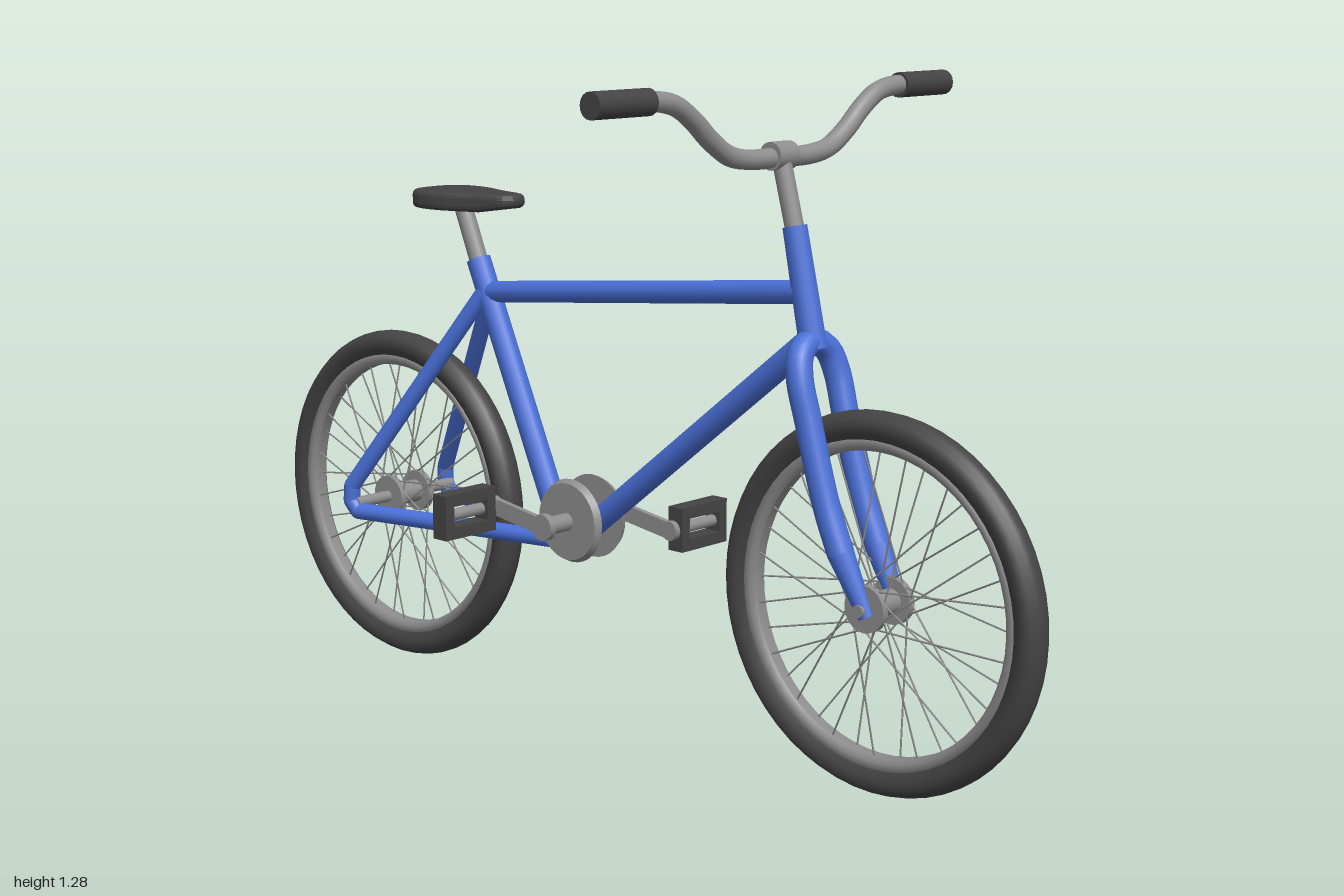
import * as THREE from 'three';
import { mergeGeometries } from 'three/addons/utils/BufferGeometryUtils.js';

const mat = (name, color) => Object.assign(new THREE.MeshStandardMaterial({ color }), { name });
const V = (x, y, z) => new THREE.Vector3(x, y, z);

// Tapered, capped rod between two points
function rodGeo(a, b, r0, r1 = r0, sides = 14) {
  const dir = b.clone().sub(a);
  const g = new THREE.CylinderGeometry(r1, r0, dir.length(), sides);
  g.applyQuaternion(new THREE.Quaternion().setFromUnitVectors(V(0, 1, 0), dir.normalize()));
  const m = a.clone().add(b).multiplyScalar(0.5);
  return g.translate(m.x, m.y, m.z);
}

const ballGeo = (p, r) => new THREE.SphereGeometry(r, 14, 8).translate(p.x, p.y, p.z);

// Ring of revolution about the x axis; profile points are [radius, x]
function ringGeo(profile) {
  const pts = [...profile, profile[0]].map(([r, x]) => new THREE.Vector2(r, x));
  return new THREE.LatheGeometry(pts, 56).rotateZ(-Math.PI / 2);
}

export function createModel() {
  const blue = mat('frame blue', 0x4a70d8);
  const steel = mat('steel grey', 0x8e8e8e);
  const rubber = mat('rubber black', 0x444444);
  const model = new THREE.Group();
  model.name = 'bicycle';

  const add = (name, geo, material, parent = model) => {
    const mesh = new THREE.Mesh(geo, material);
    mesh.name = name;
    parent.add(mesh);
    return mesh;
  };

  // Wheels: tyre, rim, hub and crossed spokes
  const tyre = ringGeo([[0.302, -0.02], [0.315, -0.029], [0.33, -0.033], [0.343, -0.027], [0.351, -0.015],
    [0.354, -0.005], [0.354, 0.005], [0.351, 0.015], [0.343, 0.027], [0.33, 0.033], [0.315, 0.029], [0.302, 0.02]]);
  const rim = ringGeo([[0.282, -0.012], [0.29, -0.021], [0.307, -0.021], [0.307, 0.021], [0.29, 0.021], [0.282, 0.012]]);
  const spokeList = [];
  const count = 36;
  for (let i = 0; i < count; i++) {
    const side = i % 2 ? 1 : -1;
    const twist = (i >> 1) % 2 ? 1.1 : -1.1;
    const a = (i / count) * Math.PI * 2;
    spokeList.push(rodGeo(
      V(side * 0.038, 0.036 * Math.cos(a + twist), 0.036 * Math.sin(a + twist)),
      V(side * 0.006, 0.285 * Math.cos(a), 0.285 * Math.sin(a)), 0.0018, 0.0018, 5));
  }
  const spokes = mergeGeometries(spokeList);
  const hub = mergeGeometries([
    rodGeo(V(-0.045, 0, 0), V(0.045, 0, 0), 0.024, 0.024, 20),
    ...[-1, 1].map(s => rodGeo(V(s * 0.032, 0, 0), V(s * 0.046, 0, 0), 0.044, 0.044, 24)),
  ]);
  for (const [name, z, half] of [['frontWheel', 0.646, 0.066], ['rearWheel', -0.646, 0.135]]) {
    const wheel = new THREE.Group();
    wheel.name = name;
    wheel.position.set(0, 0.354, z);
    add('tyre', tyre, rubber, wheel);
    add('rim', rim, steel, wheel);
    add('spokes', spokes, steel, wheel);
    add('hub', hub, steel, wheel);
    add('axle', rodGeo(V(-half, 0, 0), V(half, 0, 0), 0.012), steel, wheel);
    model.add(wheel);
  }

  // Main frame tubes
  const bottom = V(0, 0.338, -0.155);
  add('headTube', rodGeo(V(0, 0.80, 0.485), V(0, 1.02, 0.437), 0.026, 0.023), blue);
  add('topTube', rodGeo(V(0, 0.902, 0.46), V(0, 0.82, -0.375), 0.022), blue);
  add('downTube', rodGeo(V(0, 0.82, 0.482), V(0, 0.345, -0.115), 0.024), blue);
  add('seatTube', rodGeo(bottom, V(0, 0.885, -0.402), 0.025), blue);
  add('bottomJoint', ballGeo(bottom, 0.026), blue);

  // Rear stays, bent round the axle ends
  for (const s of [1, -1]) {
    const p = [V(s * 0.01, 0.82, -0.375), V(s * 0.133, 0.39, -0.66),
      V(s * 0.134, 0.357, -0.662), V(s * 0.13, 0.336, -0.645), V(s * 0.012, 0.336, -0.155)];
    add('rearStay', mergeGeometries([
      ...p.slice(1).map((q, i) => rodGeo(p[i], q, 0.0175)),
      ...p.slice(1, 4).map(q => ballGeo(q, 0.0175)),
    ]), blue);
  }

  // Fork: arched crown with tapered, forward-swept ends
  const half = [V(0.053, 0.45, 0.597), V(0.053, 0.52, 0.567), V(0.053, 0.60, 0.541),
    V(0.053, 0.68, 0.518), V(0.053, 0.755, 0.497), V(0.038, 0.797, 0.486)];
  const arch = [...half, V(0, 0.815, 0.481), ...half.map(p => V(-p.x, p.y, p.z)).reverse()];
  add('fork', new THREE.TubeGeometry(new THREE.CatmullRomCurve3(arch), 60, 0.025, 14), blue);
  for (const s of [1, -1]) {
    add('forkEnd', mergeGeometries([
      ballGeo(V(s * 0.053, 0.45, 0.597), 0.025),
      rodGeo(V(s * 0.046, 0.34, 0.653), V(s * 0.053, 0.45, 0.597), 0.015, 0.025),
    ]), blue);
  }

  // Steering: stem, clamp, swept bar and grips
  add('stem', rodGeo(V(0, 1.0, 0.441), V(0, 1.145, 0.402), 0.018), steel);
  add('barClamp', rodGeo(V(-0.027, 1.145, 0.4), V(0.027, 1.145, 0.4), 0.026, 0.026, 18), steel);
  const rise = [[0.09, 1.143], [0.14, 1.153], [0.19, 1.183], [0.235, 1.22], [0.28, 1.247], [0.33, 1.257], [0.40, 1.257]]
    .map(([x, y]) => V(x, y, 0.4));
  const bar = [...rise.map(p => V(-p.x, p.y, p.z)).reverse(), V(0, 1.142, 0.4), ...rise];
  add('handlebar', new THREE.TubeGeometry(new THREE.CatmullRomCurve3(bar), 80, 0.0185, 14), steel);
  for (const s of [1, -1]) add('grip', rodGeo(V(s * 0.347, 1.257, 0.4), V(s * 0.489, 1.257, 0.4), 0.024, 0.024, 16), rubber);

  // Saddle on its post
  add('seatPost', rodGeo(V(0, 0.87, -0.396), V(0, 0.992, -0.447), 0.019), steel);
  const outline = new THREE.Shape();
  outline.moveTo(0, 0.293);
  outline.bezierCurveTo(0.03, 0.293, 0.028, 0.32, 0.038, 0.36);
  outline.bezierCurveTo(0.048, 0.40, 0.068, 0.43, 0.068, 0.475);
  outline.bezierCurveTo(0.068, 0.53, 0.045, 0.54, 0, 0.54);
  outline.bezierCurveTo(-0.045, 0.54, -0.068, 0.53, -0.068, 0.475);
  outline.bezierCurveTo(-0.068, 0.43, -0.048, 0.40, -0.038, 0.36);
  outline.bezierCurveTo(-0.028, 0.32, -0.03, 0.293, 0, 0.293);
  const saddle = new THREE.ExtrudeGeometry(outline, {
    depth: 0.016, bevelThickness: 0.011, bevelSize: 0.011, bevelSegments: 3, curveSegments: 8,
  }).rotateX(-Math.PI / 2).translate(0, 0.998, 0);
  // Raise the underside toward the nose
  const pos = saddle.attributes.position;
  for (let i = 0; i < pos.count; i++) {
    const t = THREE.MathUtils.clamp((pos.getZ(i) + 0.36) / 0.08, 0, 1);
    if (pos.getY(i) < 1.0) pos.setY(i, pos.getY(i) + 0.012 * t);
  }
  saddle.computeVertexNormals();
  add('saddle', saddle, rubber);

  // Cranks: axle, chain discs, arms and pedals
  const crank = new THREE.Group();
  crank.name = 'crankset';
  crank.position.set(0, 0.388, -0.105);
  model.add(crank);
  add('crankAxle', rodGeo(V(-0.112, 0, 0), V(0.112, 0, 0), 0.018), steel, crank);
  const pedalShape = new THREE.Shape();
  pedalShape.moveTo(-0.067, -0.045).lineTo(0.067, -0.045).lineTo(0.067, 0.045).lineTo(-0.067, 0.045).closePath();
  const hole = new THREE.Path();
  hole.moveTo(-0.045, -0.021).lineTo(-0.045, 0.021).lineTo(0.045, 0.021).lineTo(0.045, -0.021).closePath();
  pedalShape.holes.push(hole);
  const pedalGeo = new THREE.ExtrudeGeometry(pedalShape, { depth: 0.038, bevelEnabled: false }).translate(0, 0, -0.019);
  for (const s of [1, -1]) {
    add('chainDisc', rodGeo(V(s * 0.03, 0, 0), V(s * 0.044, 0, 0), 0.085, 0.078, 32), steel, crank);
    const y = -0.021 * s, z = 0.143 * s;
    const arm = new THREE.BoxGeometry(0.012, 0.034, 0.145).rotateX(Math.atan2(0.021, 0.143)).translate(s * 0.107, y / 2, z / 2);
    add('crankArm', mergeGeometries([
      arm,
      rodGeo(V(s * 0.1, 0, 0), V(s * 0.115, 0, 0), 0.027, 0.027, 18),
      rodGeo(V(s * 0.101, y, z), V(s * 0.114, y, z), 0.02, 0.02, 18),
    ]), steel, crank);
    add('pedal', pedalGeo, rubber, crank).position.set(s * 0.188, y, z);
    add('pedalSpindle', rodGeo(V(s * 0.105, y, z), V(s * 0.24, y, z), 0.012), steel, crank);
  }

  return model;
}
